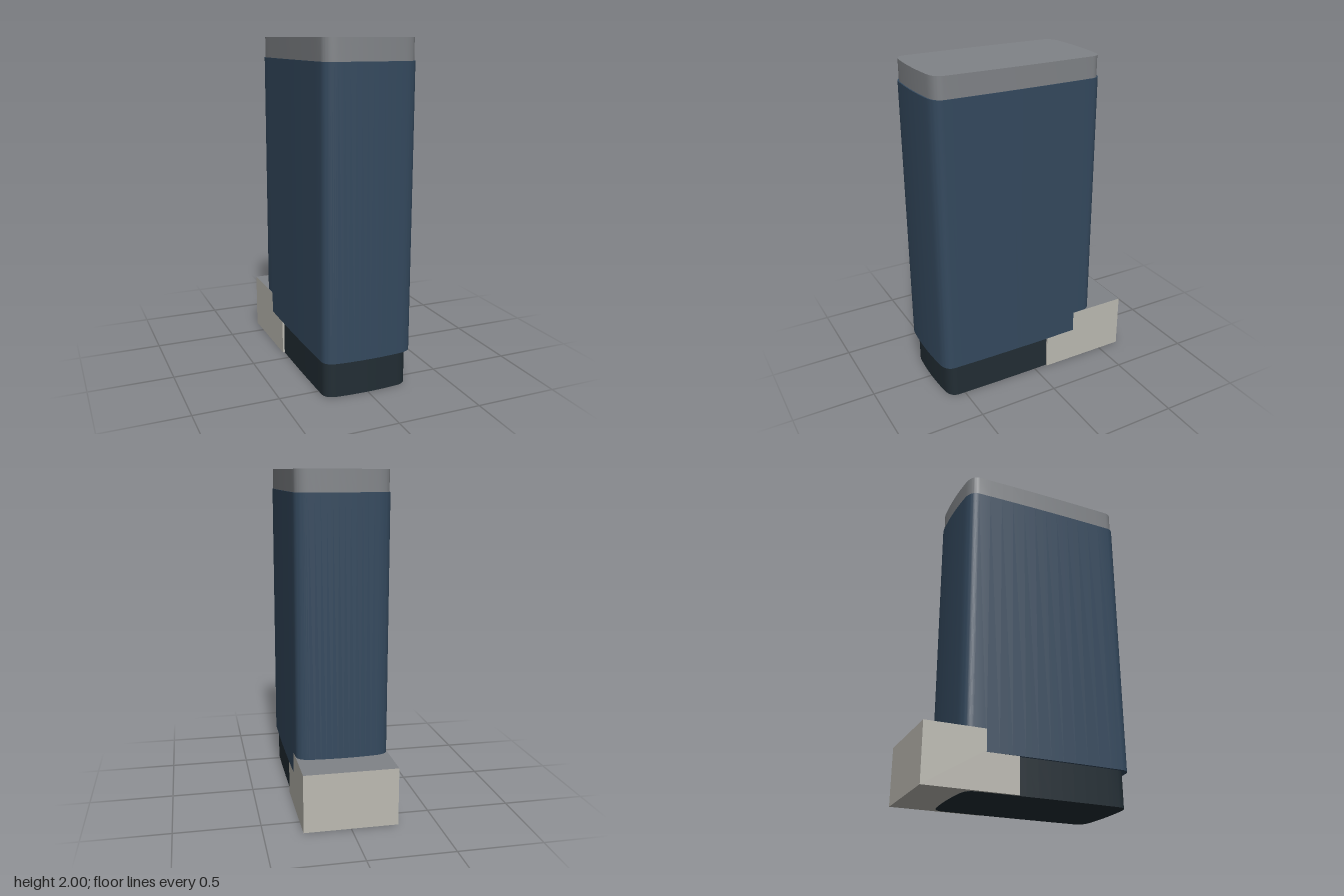
import * as THREE from 'three';
import { toCreasedNormals } from 'three/addons/utils/BufferGeometryUtils.js';

const mat = (name, color) => {
  const m = new THREE.MeshStandardMaterial({ color });
  m.name = name;
  return m;
};

// Rounded rectangular floor plan with gently bowed sides
function plan(scale) {
  const s = new THREE.Shape();
  const p = (v) => v * scale;
  const sx = 0.2745, sz = 0.465;   // where the long sides end
  const ex = 0.2, ez = 0.527;      // where the short ends end
  s.moveTo(p(sx), p(-sz));
  s.quadraticCurveTo(p(0.2855), 0, p(sx), p(sz));
  s.quadraticCurveTo(p(0.27), p(0.517), p(ex), p(ez));
  s.quadraticCurveTo(0, p(0.547), p(-ex), p(ez));
  s.quadraticCurveTo(p(-0.27), p(0.517), p(-sx), p(sz));
  s.quadraticCurveTo(p(-0.2855), 0, p(-sx), p(-sz));
  s.quadraticCurveTo(p(-0.27), p(-0.517), p(-ex), p(-ez));
  s.quadraticCurveTo(0, p(-0.547), p(ex), p(-ez));
  s.quadraticCurveTo(p(0.27), p(-0.517), p(sx), p(-sz));
  return s;
}

export function createModel() {
  const group = new THREE.Group();
  const glass = mat('blue glass', 0x34495e);
  const dark = mat('dark base', 0x222d34);
  const roof = mat('roof grey', 0x808387);
  const stone = mat('pale stone', 0xbcbab2);

  // One storey block of the tower, from y0 to y1
  const block = (name, scale, y0, y1, material) => {
    const geo = new THREE.ExtrudeGeometry(plan(scale), { depth: y1 - y0, bevelEnabled: false, curveSegments: 12 });
    geo.rotateX(-Math.PI / 2);
    const mesh = new THREE.Mesh(toCreasedNormals(geo, 0.6), material);
    mesh.name = name;
    mesh.position.set(0, y0, 0.106);
    group.add(mesh);
  };
  block('groundFloor', 0.945, 0, 0.215, dark);
  block('towerBody', 1, 0.215, 1.875, glass);
  block('roofCap', 0.986, 1.875, 2, roof);

  // Low rear annex with a grey roof, its underside just above the base's
  const annex = new THREE.Mesh(
    new THREE.BoxGeometry(0.5524, 0.344, 0.557),
    [stone, stone, roof, stone, stone, stone]
  );
  annex.name = 'rearAnnex';
  annex.position.set(0, 0.173, -0.3635);
  group.add(annex);

  return group;
}
